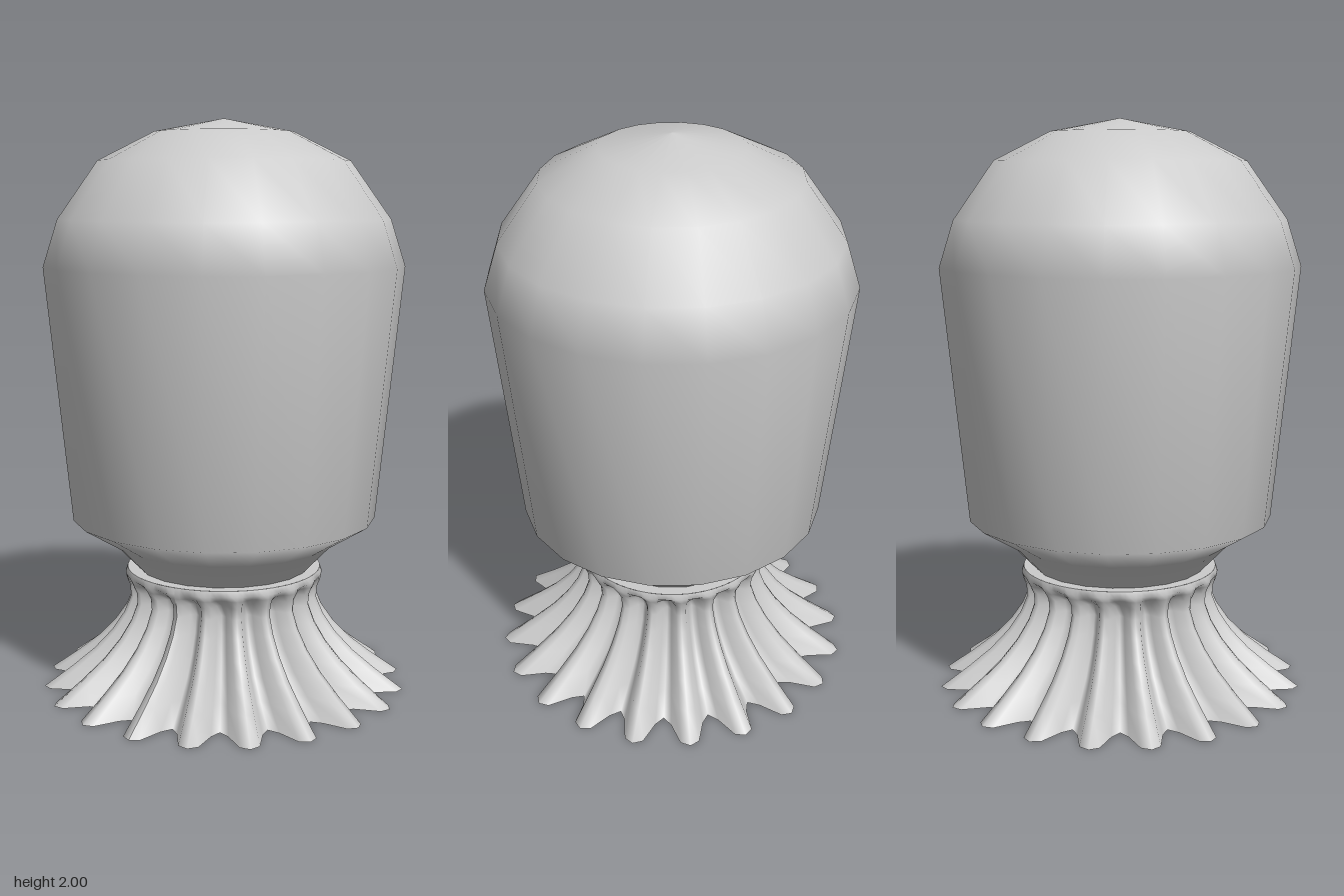
import * as THREE from 'three';

const material = new THREE.MeshStandardMaterial({ color: 0xcccccc, side: THREE.DoubleSide });
const toPoints = (list) => list.map(([r, y]) => new THREE.Vector2(r, y));

// Smooth domed body, tapering to the neck, 20 sides
function makeBody() {
  const profile = toPoints([
    [0, 0.34], [0.25, 0.36], [0.305, 0.43], [0.4, 0.53], [0.537, 0.615],
    [0.626, 1.5], [0.575, 1.66], [0.435, 1.857], [0.24, 1.955], [0, 2],
  ]);
  const mesh = new THREE.Mesh(new THREE.LatheGeometry(profile, 20), material);
  mesh.name = 'body';
  return mesh;
}

// Flared skirt with 20 pleats, each six vertices wide; pleats fade out at the rim
function makeSkirt() {
  // [ridge radius, height, pleat depth]
  const rows = [
    [0.648, 0, 0.14], [0.55, 0.07, 0.12], [0.468, 0.135, 0.1], [0.405, 0.2, 0.08],
    [0.36, 0.265, 0.065], [0.335, 0.325, 0.055], [0.338, 0.365, 0.05],
    [0.349, 0.392, 0.02], [0.352, 0.41, 0], [0.345, 0.43, 0],
  ];
  const fold = [0, 0.13, 0.75, 1, 0.75, 0.13];
  const segments = 20 * fold.length;
  const start = THREE.MathUtils.degToRad(13.8);
  const geometry = new THREE.LatheGeometry(toPoints(rows), segments, start);
  const position = geometry.attributes.position;
  for (let i = 0; i <= segments; i++) {
    rows.forEach(([radius, , depth], j) => {
      const k = i * rows.length + j;
      const scale = 1 - (depth * fold[i % fold.length]) / radius;
      position.setX(k, position.getX(k) * scale);
      position.setZ(k, position.getZ(k) * scale);
    });
  }
  geometry.computeVertexNormals();
  const mesh = new THREE.Mesh(geometry, material);
  mesh.name = 'pleatedSkirt';
  return mesh;
}

// Flat collar closing the gap between skirt and neck
function makeCollar() {
  const profile = toPoints([[0.345, 0.43], [0.285, 0.43]]);
  const mesh = new THREE.Mesh(new THREE.LatheGeometry(profile, 60), material);
  mesh.name = 'collar';
  return mesh;
}

export function createModel() {
  const group = new THREE.Group();
  group.name = 'domedVessel';
  group.add(makeBody(), makeSkirt(), makeCollar());
  return group;
}
